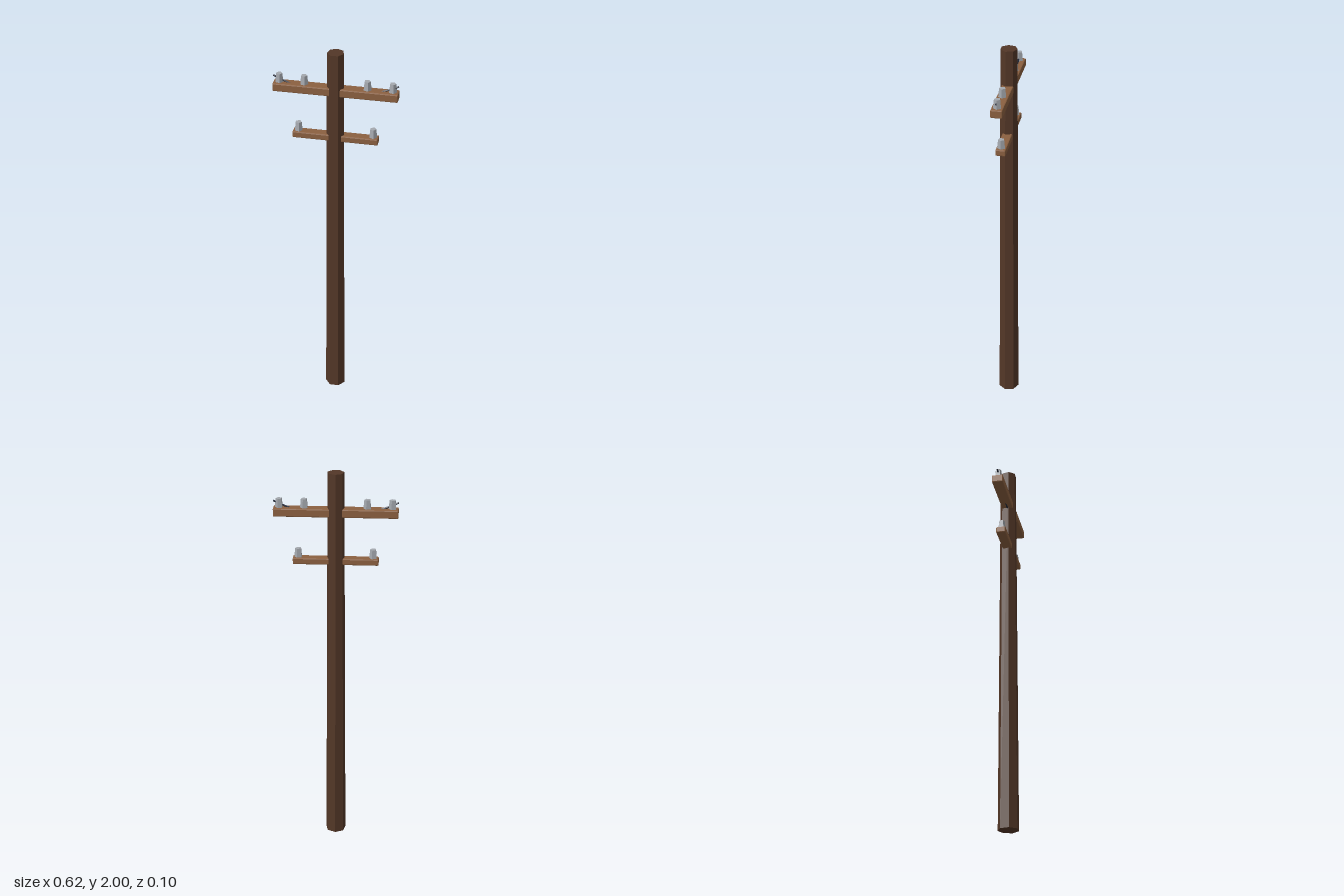
import * as THREE from 'three';
import { RoundedBoxGeometry } from 'three/addons/geometries/RoundedBoxGeometry.js';

const paint = (color) => new THREE.MeshStandardMaterial({ color, flatShading: true });

export function createModel() {
  const model = new THREE.Group();
  const darkWood = paint(0x533727);
  const wood = paint(0x8b6040);
  const porcelain = paint(0xa4a8ae);
  const cable = paint(0x222a3c);

  const add = (name, geometry, material, x = 0, y = 0, z = 0) => {
    const mesh = new THREE.Mesh(geometry, material);
    mesh.name = name;
    mesh.position.set(x, y, z);
    model.add(mesh);
    return mesh;
  };

  // Seven-sided tapering pole, one corner to the back
  const pole = new THREE.CylinderGeometry(0.042, 0.053, 2, 7);
  pole.rotateY(Math.PI);
  add('pole', pole, darkWood, 0, 1);

  // Five-sided tapering insulator standing on its base
  const insulator = new THREE.CylinderGeometry(0.016, 0.021, 0.05, 5);
  insulator.rotateY(Math.PI / 2);
  insulator.translate(0, 0.02, 0);

  // Chamfered crossarms with mirrored insulators
  const arms = [
    { name: 'upper', length: 0.614, bottom: 1.778, top: 1.82, depth: 0.058, pegs: [0.155, 0.278] },
    { name: 'lower', length: 0.426, bottom: 1.531, top: 1.564, depth: 0.05, pegs: [0.186] },
  ];
  for (const { name, length, bottom, top, depth, pegs } of arms) {
    const beam = new RoundedBoxGeometry(length, top - bottom, depth, 1, 0.005);
    add(name + 'Crossarm', beam, wood, 0, (top + bottom) / 2, 0.001);
    for (const x of pegs) {
      for (const side of [-1, 1]) add(name + 'Insulator', insulator, porcelain, side * x, top, 0.001);
    }
  }

  // Cable sagging through the upper crossarm
  const points = [];
  for (let i = -4; i <= 4; i++) {
    const t = i / 4;
    points.push(new THREE.Vector3(0.307 * t, 1.775 + 0.077 * t * t, 0.002));
  }
  const sag = new THREE.CatmullRomCurve3(points);
  cable.side = THREE.DoubleSide;
  add('cable', new THREE.TubeGeometry(sag, 12, 0.0045, 4), cable);

  return model;
}
